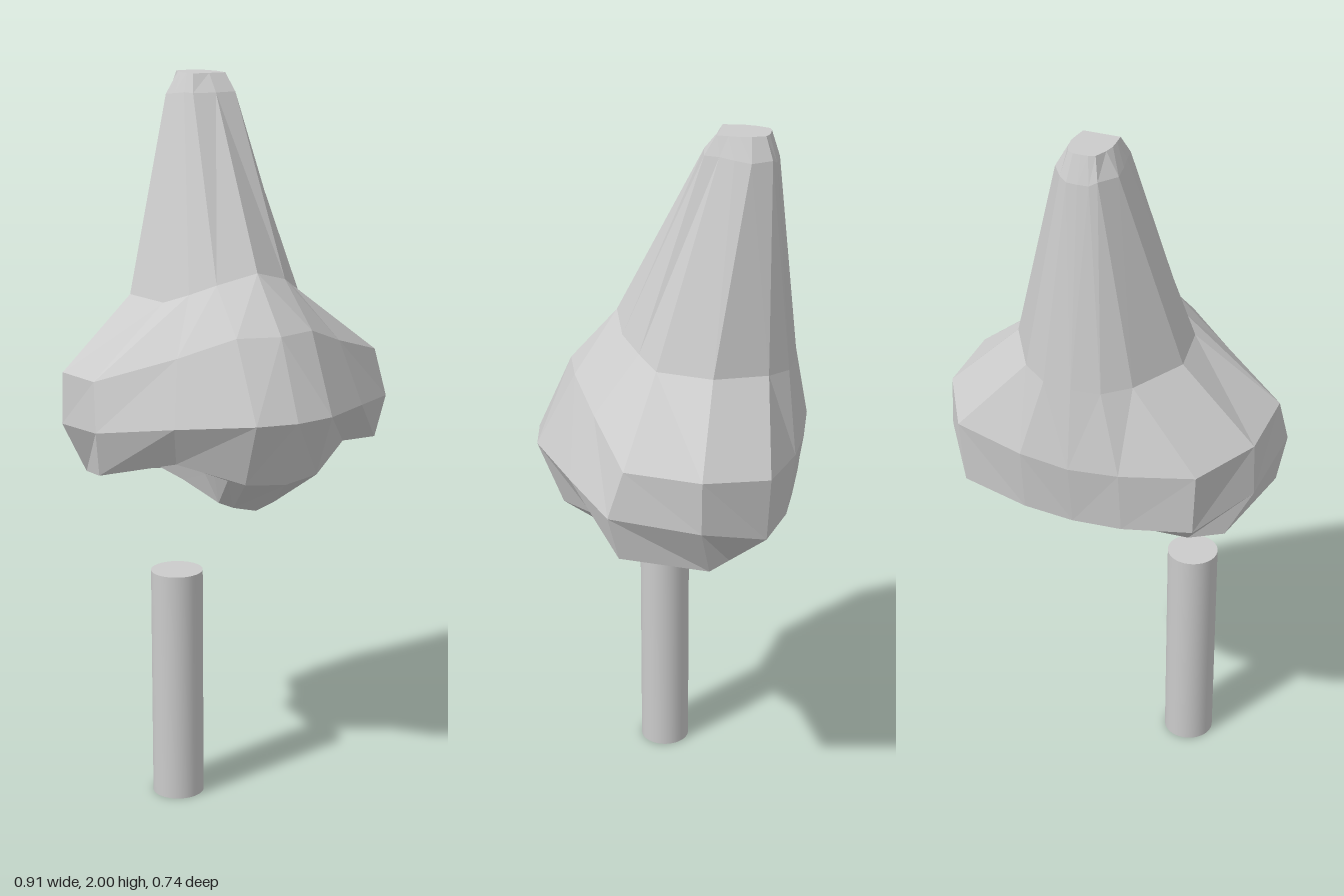
import * as THREE from 'three';

// Half cross-sections of the nose, top to bottom; each runs front centre -> left side -> back centre
const RINGS = [
  // flat tip of the bridge
  [[0, 2, -.13], [.05, 2, -.13], [.053, 2, -.16], [.055, 2, -.19], [.05, 2, -.22], [.037, 2, -.255], [.02, 2, -.262], [0, 2, -.263]],
  // bevel under the tip
  [[0, 1.95, -.09], [.065, 1.95, -.1], [.072, 1.95, -.14], [.08, 1.945, -.18], [.085, 1.94, -.225], [.05, 1.94, -.275], [.03, 1.93, -.283], [0, 1.93, -.285]],
  // foot of the bridge
  [[0, 1.49, .145], [.105, 1.46, .11], [.16, 1.43, .055], [.21, 1.405, 0], [.235, 1.405, -.155], [.15, 1.39, -.29], [.08, 1.38, -.335], [0, 1.38, -.345]],
  // shoulder of the nostril wings
  [[0, 1.34, .275], [.115, 1.34, .24], [.25, 1.285, .16], [.44, 1.22, .045], [.44, 1.205, -.16], [.34, 1.18, -.325], [.14, 1.16, -.365], [0, 1.15, -.372]],
  // widest section
  [[0, 1.125, .37], [.115, 1.125, .35], [.29, 1.11, .22], [.455, 1.09, .085], [.445, 1.06, -.16], [.33, 1, -.315], [.14, .98, -.345], [0, .97, -.345]],
  // lower rim
  [[0, .94, .3], [.11, .95, .28], [.26, 1, .17], [.435, .965, .06], [.37, .912, -.17], [.28, .9, -.21], [.12, .885, -.2], [0, .88, -.2]],
];

function noseGeometry() {
  const pos = [];
  const flip = ([x, y, z]) => [-x, y, z];
  const tri = (a, b, c) => {
    pos.push(...a, ...b, ...c);
    pos.push(...flip(a), ...flip(c), ...flip(b));
  };
  const quad = (a, b, c, d) => { tri(a, b, c); tri(a, c, d); };

  // outer skin
  for (let r = 0; r < RINGS.length - 1; r++) {
    const up = RINGS[r], low = RINGS[r + 1];
    for (let i = 0; i < up.length - 1; i++) quad(up[i], low[i], low[i + 1], up[i + 1]);
  }
  // tip cap
  const tip = RINGS[0];
  for (let i = 0; i < tip.length - 1; i++) tri([0, 2, -.2], tip[i], tip[i + 1]);

  // wedge between the nostrils
  const [F, A, B, C, D, E, G, H] = RINGS[RINGS.length - 1];
  const M = [0, .825, .14], N = [0, .853, -.03];
  const S0 = [.065, .84, .13], S1 = [.115, .882, -.04];
  quad(F, M, S0, A);
  quad(M, N, S1, S0);
  quad(N, H, G, S1);

  // nostril: lip, then a tapering recess closed at its top
  const rim = [A, B, C, D, E, G, S1, S0];
  const mid = [.235, .925, .02];
  const inset = (s, lift, level) => rim.map(([x, y, z]) => [
    mid[0] + (x - mid[0]) * s,
    mid[1] + (y - mid[1]) * level + lift,
    mid[2] + (z - mid[2]) * s,
  ]);
  const loops = [rim, inset(.8, .005, .9), inset(.62, .06, .6), inset(.45, .1, .3)];
  for (let l = 0; l < loops.length - 1; l++) {
    rim.forEach((_, i) => {
      const j = (i + 1) % rim.length;
      quad(loops[l][i], loops[l + 1][i], loops[l + 1][j], loops[l][j]);
    });
  }
  const top = loops[loops.length - 1];
  top.forEach((p, i) => tri(p, [mid[0], mid[1] + .1, mid[2]], top[(i + 1) % top.length]));

  const geo = new THREE.BufferGeometry();
  geo.setAttribute('position', new THREE.Float32BufferAttribute(pos, 3));
  geo.computeVertexNormals();
  return geo;
}

export function createModel() {
  const group = new THREE.Group();

  const nose = new THREE.Mesh(
    noseGeometry(),
    new THREE.MeshStandardMaterial({ color: 0xcccccc, flatShading: true }),
  );
  nose.name = 'nose';
  group.add(nose);

  // upright stick below the right nostril
  const stick = new THREE.Mesh(
    new THREE.CylinderGeometry(.072, .072, .66, 32),
    new THREE.MeshStandardMaterial({ color: 0xcccccc }),
  );
  stick.name = 'stick';
  stick.position.set(-.2, .33, .05);
  group.add(stick);

  return group;
}
